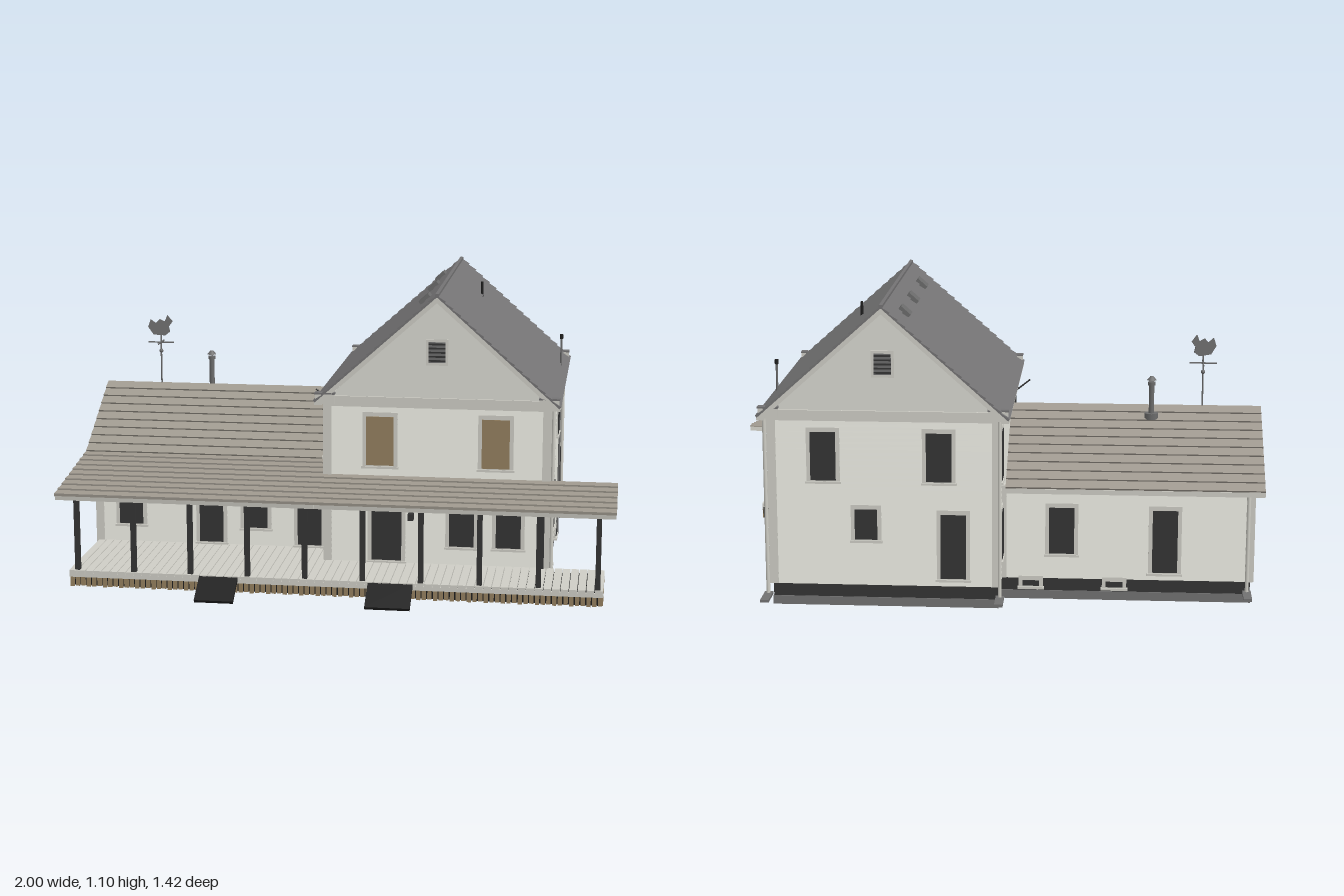
import * as THREE from 'three';

const M = {};
for (const [name, hex] of Object.entries({
  siding: 0xdadad2, trim: 0xcfcec6, mainRoof: 0x747374, wingRoof: 0xa09a90, dark: 0x343434,
  black: 0x1e1e1e, stone: 0x727272, wood: 0x94805f, metal: 0x6c6c6c })) {
  M[name] = new THREE.MeshStandardMaterial({ color: hex });
  M[name].name = name;
}

function add(parent, name, geo, mat, x = 0, y = 0, z = 0) {
  const m = new THREE.Mesh(geo, mat);
  m.name = name;
  m.position.set(x, y, z);
  parent.add(m);
  return m;
}

// Box given by its extents
function box(parent, name, mat, x0, x1, y0, y1, z0, z1) {
  return add(parent, name, new THREE.BoxGeometry(x1 - x0, y1 - y0, z1 - z0), mat,
    (x0 + x1) / 2, (y0 + y1) / 2, (z0 + z1) / 2);
}

function pipe(parent, name, mat, x, y0, y1, z, r) {
  return add(parent, name, new THREE.CylinderGeometry(r, r, y1 - y0, 10), mat, x, (y0 + y1) / 2, z);
}

// Overlapping boards or shingles: saw-tooth profile along +x, raised in +y, extruded along z
function lapped(length, n, step, back, depth) {
  const s = new THREE.Shape();
  s.moveTo(0, -back);
  for (let i = 0; i < n; i++) {
    s.lineTo(length * i / n, 0);
    s.lineTo(length * (i + 1) / n, step);
  }
  s.lineTo(length, -back);
  return new THREE.ExtrudeGeometry(s, { depth, bevelEnabled: false }).translate(0, 0, -depth / 2);
}

// One roof plane falling from the ridge in direction "yaw", with a pale board beneath
function slope(parent, name, mat, pos, yaw, run, drop, width, n) {
  const g = new THREE.Group(), tilt = new THREE.Group(), len = Math.hypot(run, drop);
  g.name = name;
  g.position.set(...pos);
  g.rotation.y = yaw;
  tilt.rotation.z = -Math.atan2(drop, run);
  g.add(tilt);
  parent.add(g);
  add(tilt, 'shingles', lapped(len, n, 0.006, 0.004, width), mat);
  box(tilt, 'roofBoard', M.trim, 0, len - 0.002, -0.02, -0.004, -width / 2 + 0.002, width / 2 - 0.002);
}

// Wall with lapped siding; local x runs along the wall, y up, z outward
function wall(parent, name, x, z, yaw, width, top) {
  const g = new THREE.Group(), h = top - 0.08;
  g.name = name;
  g.position.set(x, 0, z);
  g.rotation.y = yaw;
  parent.add(g);
  const geo = lapped(h, Math.round(h / 0.021), 0.006, 0.02, width)
    .rotateZ(-Math.PI / 2).rotateY(-Math.PI / 2);
  add(g, 'siding', geo, M.siding, 0, top, 0);
  for (const s of [-1, 1]) {
    const c = s * (width / 2 - 0.008);
    box(g, 'cornerBoard', M.trim, c - 0.014, c + 0.014, 0.08, top, -0.015, 0.009);
  }
  box(g, 'frieze', M.trim, -width / 2, width / 2, top - 0.02, top, -0.01, 0.01);
  return g;
}

// Window or door, placed in the wall's own frame
function opening(w, name, x, y0, y1, width = 0.09, mat = M.dark) {
  const a = x - width / 2, b = x + width / 2;
  box(w, name + 'Frame', M.trim, a - 0.014, b + 0.014, y0 - 0.01, y1 + 0.016, -0.01, 0.01);
  box(w, name + 'Sill', M.trim, a - 0.018, b + 0.018, y0 - 0.012, y0 - 0.004, 0, 0.016);
  box(w, name, mat, a, b, y0, y1, 0.006, 0.013);
}

function gable(parent, name, half, y0, y1, x, z, yaw) {
  const s = new THREE.Shape([new THREE.Vector2(-half, y0), new THREE.Vector2(half, y0), new THREE.Vector2(0, y1)]);
  const g = new THREE.Group();
  g.name = name;
  g.position.set(x, 0, z);
  g.rotation.y = yaw;
  parent.add(g);
  add(g, 'gablePanel', new THREE.ExtrudeGeometry(s, { depth: 0.02, bevelEnabled: false }), M.siding, 0, 0, -0.016);
  return g;
}

function vent(g, y, w, h) {
  box(g, 'ventFrame', M.trim, -w / 2 - 0.01, w / 2 + 0.01, y - h / 2 - 0.01, y + h / 2 + 0.01, 0, 0.008);
  box(g, 'ventPanel', M.metal, -w / 2, w / 2, y - h / 2, y + h / 2, 0.004, 0.01);
  for (let i = 0; i < 5; i++) {
    const c = y - h / 2 + h * (i + 0.5) / 5;
    box(g, 'ventSlat', M.dark, -w / 2, w / 2, c - 0.003, c + 0.003, 0.01, 0.012);
  }
}

export function createModel() {
  const house = new THREE.Group();
  house.name = 'farmhouse';
  const P = Math.PI, H = P / 2, cx = 0.345, cz = -0.14, wx = -0.51, wz = -0.16;

  // Foundations
  for (const [x0, x1, z0, z1] of [[-0.06, 0.75, -0.62, 0.34], [-0.96, -0.06, -0.5, 0.18]]) {
    box(house, 'footing', M.stone, x0, x1, 0, 0.032, z0, z1);
    box(house, 'foundation', M.dark, x0 + 0.003, x1 - 0.003, 0.032, 0.08, z0 + 0.003, z1 - 0.003);
  }

  // Main block walls and openings
  const front = wall(house, 'mainFrontWall', cx, 0.34, 0, 0.81, 0.7);
  const back = wall(house, 'mainBackWall', cx, -0.62, P, 0.81, 0.7);
  const right = wall(house, 'mainEastWall', 0.75, cz, H, 0.96, 0.7);
  const left = wall(house, 'mainWestWall', -0.06, cz, -H, 0.96, 0.7);
  for (const x of [0.14, 0.56]) opening(front, 'shutteredWindow', x - cx, 0.465, 0.645, 0.1, M.wood);
  opening(front, 'frontDoor', 0.165 - cx, 0.11, 0.355, 0.11);
  for (const x of [0.44, 0.61]) opening(front, 'window', x - cx, 0.17, 0.345);
  box(front, 'porchLamp', M.dark, -0.1, -0.08, 0.265, 0.29, 0, 0.03);
  for (const x of [0.56, 0.15]) opening(back, 'window', cx - x, 0.465, 0.64);
  opening(back, 'smallWindow', cx - 0.41, 0.25, 0.36, 0.08);
  opening(back, 'backDoor', cx - 0.1, 0.11, 0.345, 0.09);
  for (const [z, y0, y1] of [[0.138, 0.465, 0.64], [-0.305, 0.465, 0.64], [0.03, 0.175, 0.345], [-0.547, 0.175, 0.345]])
    opening(right, 'window', cz - z, y0, y1, z < -0.5 ? 0.075 : 0.09);
  for (const z of [0.128, -0.302]) opening(right, 'cellarVent', cz - z, 0.052, 0.072, 0.06);
  opening(left, 'window', 0.265 - cz, 0.49, 0.64);
  opening(left, 'window', -0.56 - cz, 0.465, 0.64, 0.07);
  opening(left, 'window', -0.56 - cz, 0.175, 0.345, 0.07);

  // Main gables and roof
  for (const [z, yaw] of [[0.34, 0], [-0.62, P]]) {
    const g = gable(house, 'mainGable', 0.412, 0.695, 1.066, cx, z, yaw);
    vent(g, 0.885, 0.06, 0.075);
    box(g, 'gableBand', M.trim, -0.41, 0.41, 0.7, 0.718, 0, 0.012);
    for (const s of [-1, 1]) {
      const c = s * 0.405;
      box(g, 'eaveReturn', M.trim, c - 0.035, c + 0.035, 0.69, 0.725, 0, 0.025);
      box(g, 'returnCap', M.mainRoof, c - 0.037, c + 0.037, 0.725, 0.731, 0, 0.028);
    }
  }
  for (const yaw of [0, P]) slope(house, 'mainRoofSlope', M.mainRoof, [cx, 1.093, -0.145], yaw, 0.443, 0.395, 1.03, 16);
  box(house, 'ridgeCap', M.mainRoof, cx - 0.006, cx + 0.006, 1.086, 1.099, -0.66, 0.37);
  for (const x of [-0.085, 0.775]) box(house, 'mainGutter', M.trim, x - 0.014, x + 0.014, 0.685, 0.703, -0.655, 0.365);
  for (const z of [-0.47, -0.19, 0.13]) {
    const v = box(house, 'roofVent', M.metal, 0.262, 0.308, 1.025, 1.057, z - 0.03, z + 0.03);
    v.rotation.z = 0.73;
  }
  pipe(house, 'roofPipe', M.black, 0.455, 0.98, 1.05, -0.31, 0.005);

  // Side wing
  const wf = wall(house, 'wingFrontWall', wx, 0.18, 0, 0.9, 0.425);
  const wb = wall(house, 'wingBackWall', wx, -0.5, P, 0.9, 0.425);
  const wl = wall(house, 'wingEndWall', -0.96, wz, -H, 0.68, 0.425);
  for (const x of [-0.83, -0.35]) opening(wf, 'window', x - wx, 0.17, 0.34);
  for (const x of [-0.52, -0.145]) opening(wf, 'wingDoor', x - wx, 0.11, 0.32);
  opening(wb, 'window', wx + 0.28, 0.175, 0.345);
  opening(wb, 'wingBackDoor', wx + 0.65, 0.11, 0.34);
  for (const x of [-0.17, -0.47]) opening(wb, 'cellarVent', wx - x, 0.052, 0.072, 0.06);
  for (const z of [-0.29, 0.05]) opening(wl, 'window', z - wz, 0.175, 0.345, 0.085);
  vent(gable(house, 'wingGable', 0.345, 0.42, 0.626, -0.96, wz, -H), 0.515, 0.06, 0.07);
  slope(house, 'wingBackSlope', M.wingRoof, [-0.54, 0.65, wz], H, 0.385, 0.226, 0.92, 10);
  slope(house, 'wingFrontSlope', M.wingRoof, [-0.54, 0.65, wz], -H, 0.35, 0.205, 0.92, 9);
  box(house, 'wingGutter', M.trim, -1, -0.08, 0.405, 0.423, -0.547, -0.525);

  // Porch roof, rafters and beam
  slope(house, 'porchRoofWest', M.wingRoof, [-0.53, 0.445, 0.187], -H, 0.445, 0.06, 0.94, 9);
  slope(house, 'porchRoofEast', M.wingRoof, [0.47, 0.425, 0.338], -H, 0.294, 0.04, 1.06, 6);
  box(house, 'porchBeam', M.trim, -0.97, 0.97, 0.358, 0.374, 0.58, 0.6);
  for (let i = 0; i < 20; i++) {
    const x = -0.96 + i * 1.92 / 19, z0 = x < -0.06 ? 0.2 : 0.35, len = 0.62 - z0;
    const r = add(house, 'rafter', new THREE.BoxGeometry(0.012, 0.014, len), M.trim, x, 0.378 + len * 0.067, z0 + len / 2);
    r.rotation.x = Math.atan(0.135);
  }

  // Porch floor, skirt and posts
  box(house, 'porchFrameWest', M.black, -0.955, -0.06, 0.042, 0.085, 0.183, 0.592);
  box(house, 'porchFrameEast', M.black, -0.06, 0.955, 0.042, 0.085, 0.343, 0.592);
  for (let i = 0; i < 64; i++) {
    const x = -0.96 + i * 0.03;
    box(house, 'deckBoard', M.trim, x + 0.001, x + 0.028, 0.085, 0.1, x < -0.07 ? 0.185 : 0.345, 0.607);
  }
  box(house, 'deckEdge', M.trim, -0.96, 0.96, 0.074, 0.088, 0.59, 0.603);
  for (const [x, z0] of [[-0.96, 0.185], [0.954, 0.345]]) box(house, 'deckSideEdge', M.trim, x, x + 0.006, 0.074, 0.1, z0, 0.6);
  for (let i = 0; i < 96; i++) {
    const x = -0.96 + i * 0.02;
    box(house, 'skirtSlat', M.wood, x + 0.002, x + 0.017, 0.038 + (i % 3) * 0.002, 0.076, 0.592, 0.6);
  }
  for (let i = 0; i < 20; i++) {
    const z = 0.19 + i * 0.02;
    box(house, 'skirtSlat', M.wood, -0.96, -0.953, 0.04, 0.076, z, z + 0.015);
    if (z > 0.34) box(house, 'skirtSlat', M.wood, 0.953, 0.96, 0.04, 0.076, z, z + 0.015);
  }
  for (let i = 0; i < 10; i++) {
    const x = -0.93 + i * 0.2078;
    box(house, 'porchPost', M.dark, x - 0.009, x + 0.009, 0.1, 0.36, 0.581, 0.599);
  }
  box(house, 'wallPost', M.dark, 0.722, 0.74, 0.1, 0.41, 0.343, 0.361);

  // Sloping entry steps
  for (const x of [-0.41, 0.21]) {
    const w = x < 0 ? 0.14 : 0.16;
    const s = add(house, 'entryRamp', new THREE.BoxGeometry(w, 0.012, 0.115), M.black, x, 0.062, 0.65);
    s.rotation.x = 0.57;
  }

  // Downspouts with ground outlets
  for (const [x, z, top, dx, dz] of [[0.765, 0.312, 0.69, 1, 0], [0.765, -0.632, 0.69, 0, -1],
    [-0.065, -0.632, 0.69, 0, -1], [-0.945, -0.513, 0.41, 0, -1]]) {
    pipe(house, 'downspout', M.trim, x, 0.045, top, z, 0.007);
    box(house, 'outlet', M.stone, x - 0.015 + Math.min(dx, 0), x + 0.015 + 0.07 * dx, 0.036, 0.046,
      z - 0.015 + 0.07 * dz, z + 0.015);
  }

  // Electric meter and mast
  pipe(house, 'meterMast', M.metal, 0.763, 0.04, 0.835, -0.358, 0.004);
  pipe(house, 'mastCap', M.black, 0.763, 0.825, 0.842, -0.358, 0.007);
  box(house, 'meterBox', M.trim, 0.75, 0.778, 0.185, 0.235, -0.375, -0.34);
  add(house, 'meterDial', new THREE.CylinderGeometry(0.011, 0.011, 0.012, 12).rotateZ(H), M.metal, 0.78, 0.212, -0.358);

  // Flue on the wing roof
  pipe(house, 'flue', M.metal, -0.597, 0.6, 0.745, -0.22, 0.01);
  add(house, 'flueCap', new THREE.CylinderGeometry(0.006, 0.018, 0.014, 12), M.metal, -0.597, 0.762, -0.22);
  pipe(house, 'flueCollar', M.metal, -0.597, 0.736, 0.748, -0.22, 0.014);
  pipe(house, 'flueFlashing', M.metal, -0.597, 0.61, 0.632, -0.22, 0.026);

  // Weathervane
  const vane = new THREE.Group();
  vane.name = 'weathervane';
  vane.position.set(-0.785, 0, wz);
  house.add(vane);
  pipe(vane, 'vaneRod', M.metal, 0, 0.64, 0.85, 0, 0.003);
  add(vane, 'vaneBall', new THREE.SphereGeometry(0.008, 10, 8), M.metal, 0, 0.775, 0);
  box(vane, 'crossBarX', M.metal, -0.05, 0.05, 0.806, 0.811, -0.002, 0.002);
  box(vane, 'crossBarZ', M.metal, -0.002, 0.002, 0.806, 0.811, -0.05, 0.05);
  const figure = new THREE.Shape([[-0.05, 0.87], [-0.03, 0.84], [0.015, 0.835], [0.035, 0.85], [0.03, 0.87], [0.045, 0.89],
    [0.025, 0.915], [0.015, 0.89], [-0.005, 0.9], [-0.02, 0.885], [-0.04, 0.9]].map(p => new THREE.Vector2(...p)));
  add(vane, 'vaneFigure', new THREE.ExtrudeGeometry(figure, { depth: 0.006, bevelEnabled: false }), M.metal, 0, 0, -0.003).rotation.y = 0.3;

  // Dish on the main block's eave
  const dish = add(house, 'dish', new THREE.SphereGeometry(0.04, 16, 6, 0, P * 2, 0, 0.75),
    new THREE.MeshStandardMaterial({ color: 0xb4b4b0, side: THREE.DoubleSide, name: 'dishGrey' }), -0.085, 0.66, 0.06);
  dish.rotation.set(-0.5, 0, -1.1);
  add(house, 'dishArm', new THREE.CylinderGeometry(0.003, 0.003, 0.07, 8), M.dark, -0.11, 0.665, 0.075).rotation.z = 0.9;
  return house;
}
